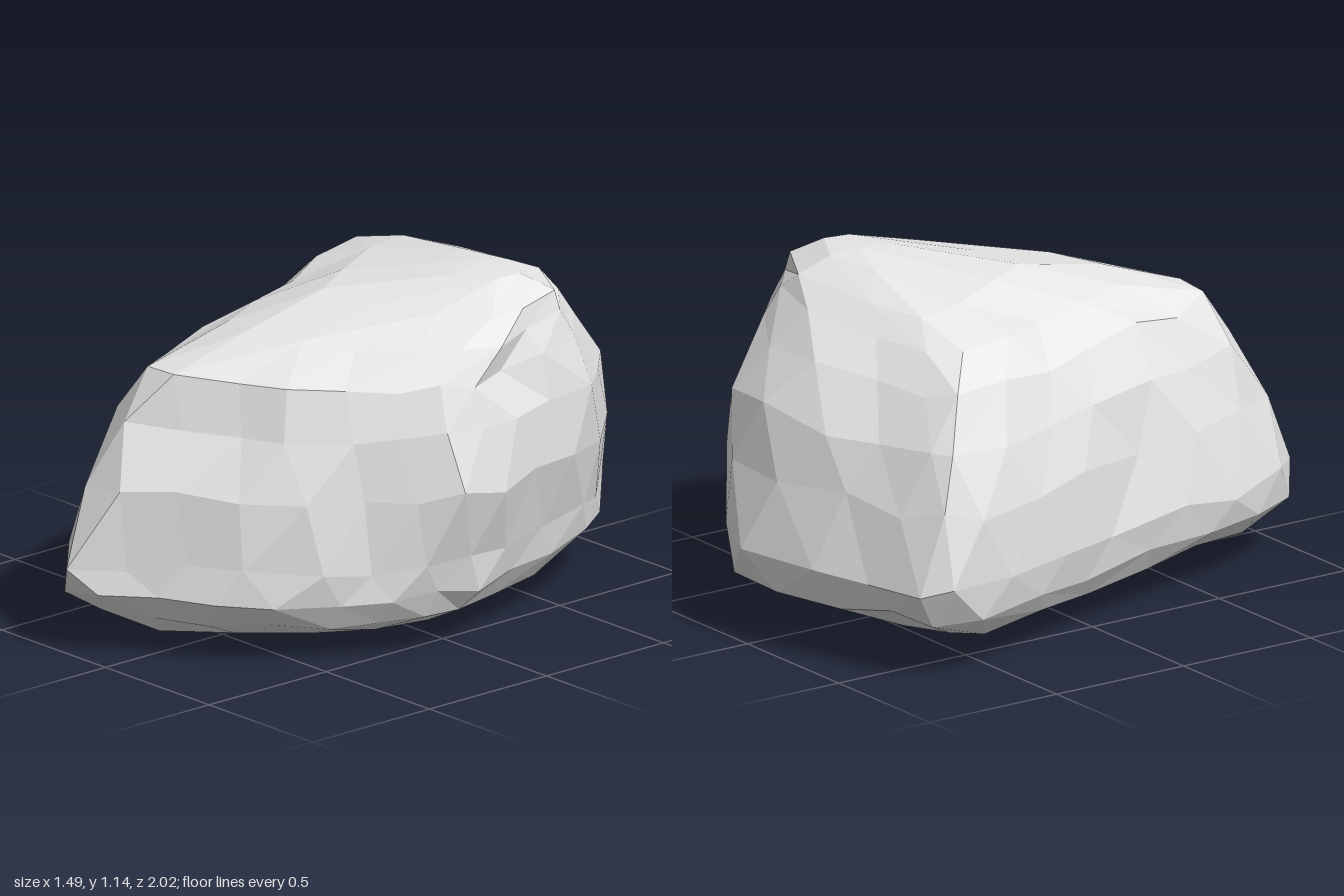
import * as THREE from 'three';

// Plan outline of the boulder, clockwise from the back, as [x, z]
const OUTLINE = [
  [0.07, -1], [0.29, -0.92], [0.45, -0.75], [0.56, -0.6], [0.62, -0.35], [0.67, -0.15],
  [0.7, 0.03], [0.67, 0.18], [0.59, 0.34], [0.5, 0.47], [0.33, 0.67], [0.18, 0.76],
  [0, 0.88], [-0.16, 0.99], [-0.31, 0.87], [-0.4, 0.6], [-0.46, 0.4], [-0.55, 0.03],
  [-0.64, -0.2], [-0.73, -0.48], [-0.745, -0.74], [-0.67, -0.81], [-0.45, -0.87], [-0.26, -0.95],
];

// Horizontal slices: [y, xMin, xMax, zMin, zMax, corners, shift along the outline]
const SLICES = [
  [0.015, -0.02, 0.34, -0.35, 0.3, 7, 0.02],
  [0.06, -0.4, 0.46, -0.58, 0.72, 13, 0],
  [0.12, -0.63, 0.57, -0.8, 0.89, 22, 0],
  [0.2, -0.71, 0.63, -0.95, 0.97, 24, 0.5 / 24],
  [0.31, -0.75, 0.66, -1, 1, 24, 0],
  [0.55, -0.735, 0.71, -0.94, 0.9, 24, 0.5 / 24],
  [0.75, -0.68, 0.7, -0.88, 0.81, 24, 0],
  [0.9, -0.57, 0.66, -0.75, 0.69, 22, 0.5 / 24],
  [1.0, -0.47, 0.63, -0.65, 0.43, 17, 0],
  [1.07, -0.25, 0.57, -0.56, 0.08, 11, 0.03],
  [1.125, 0.1, 0.43, -0.46, -0.22, 6, 0],
];

// Chipped hollows, and swellings with negative depth: [x, y, z, radius, depth]
const DENTS = [
  [0.58, 0.52, 0.32, 0.26, 0.05],
  [0.42, 0.9, 0.25, 0.22, 0.03],
  [0.55, 0.88, -0.55, 0.42, -0.035],
  [0.71, 0.56, 0, 0.2, -0.04],
];

function seeded(seed) {
  return () => {
    seed = (seed * 16807) % 2147483647;
    return seed / 2147483647 - 0.5;
  };
}

// Corners of one slice: the outline resampled and fitted to the slice's extents
function sliceCorners(curve, [y, x0, x1, z0, z1, count, shift], rand) {
  const raw = Array.from({ length: count }, (_, i) => curve.getPoint((i / count + shift) % 1));
  const box = new THREE.Box3().setFromPoints(raw);
  const centre = new THREE.Vector3(0, 0.5, -0.1);
  const jitter = 0.02 * (x1 - x0);
  return raw.map((p) => {
    p.set(
      THREE.MathUtils.mapLinear(p.x, box.min.x, box.max.x, x0, x1) + rand() * jitter,
      y + rand() * jitter * 1.5,
      THREE.MathUtils.mapLinear(p.z, box.min.z, box.max.z, z0, z1) + rand() * jitter,
    );
    const q = p.clone();
    for (const [dx, dy, dz, radius, depth] of DENTS) {
      const d = q.distanceTo(new THREE.Vector3(dx, dy, dz)) / radius;
      if (d < 1) p.addScaledVector(centre.clone().sub(q).normalize(), depth * (1 - d * d));
    }
    return p;
  });
}

function boulderGeometry() {
  const rand = seeded(4127);
  const curve = new THREE.CatmullRomCurve3(OUTLINE.map(([x, z]) => new THREE.Vector3(x, 0, z)), true);
  const rings = SLICES.map((slice) => sliceCorners(curve, slice, rand));
  const points = [];

  // Join neighbouring slices, stepping along whichever ring lags behind
  for (let r = 0; r < rings.length - 1; r++) {
    const low = rings[r], high = rings[r + 1];
    const lowShift = SLICES[r][6], highShift = SLICES[r + 1][6];
    let i = 0, j = 0;
    while (i < low.length || j < high.length) {
      const a = low[i % low.length], b = high[j % high.length];
      const nextLow = (i + 1) / low.length + lowShift;
      const nextHigh = (j + 1) / high.length + highShift;
      if (j === high.length || (i < low.length && nextLow <= nextHigh)) {
        points.push(a, b, low[++i % low.length]);
      } else {
        points.push(a, b, high[++j % high.length]);
      }
    }
  }

  // Close the underside and the crown
  const bottom = new THREE.Vector3(0.14, 0, 0), top = new THREE.Vector3(0.28, 1.14, -0.36);
  const first = rings[0], last = rings[rings.length - 1];
  first.forEach((p, i) => points.push(bottom, p, first[(i + 1) % first.length]));
  last.forEach((p, i) => points.push(top, last[(i + 1) % last.length], p));

  const geometry = new THREE.BufferGeometry().setFromPoints(points);
  geometry.computeVertexNormals();
  return geometry;
}

export function createModel() {
  const group = new THREE.Group();
  group.name = 'rock';
  const stone = new THREE.MeshStandardMaterial({ color: 0xe7e7e7 });
  stone.name = 'pale stone';
  stone.flatShading = true;
  const boulder = new THREE.Mesh(boulderGeometry(), stone);
  boulder.name = 'boulder';
  group.add(boulder);
  return group;
}
